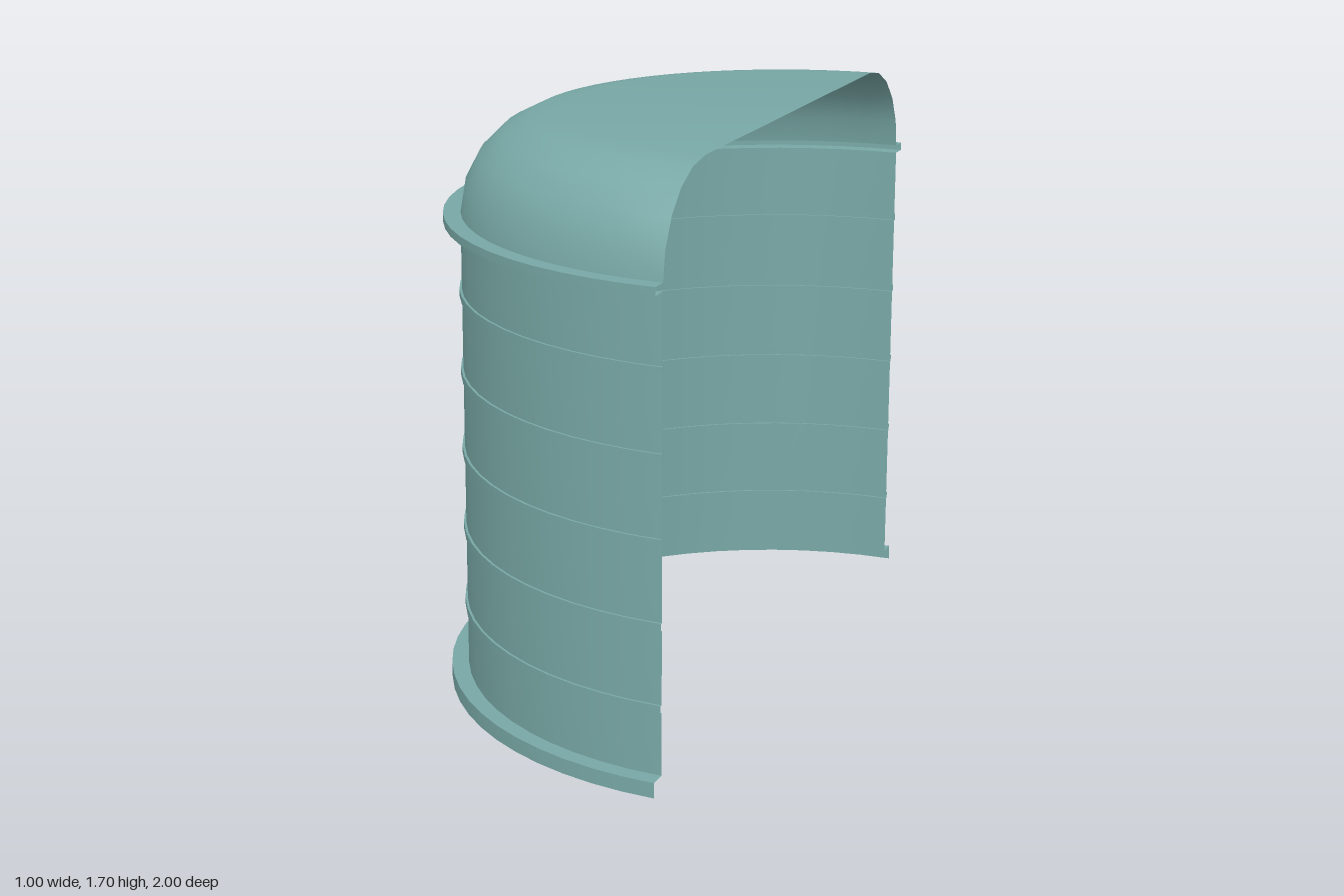
import * as THREE from 'three';
import { toCreasedNormals } from 'three/addons/utils/BufferGeometryUtils.js';

const WALL = 0.95, RIB = 0.957, FLANGE = 1, SEGMENTS = 32;
const material = new THREE.MeshStandardMaterial({ color: 0x78a8a6, side: THREE.DoubleSide });

// Sweep a [radius, y] profile through the half turn on the -x side
function halfLathe(name, profile) {
  const points = profile.map(([r, y]) => new THREE.Vector2(r, y));
  const geometry = new THREE.LatheGeometry(points, SEGMENTS, Math.PI, Math.PI);
  const mesh = new THREE.Mesh(toCreasedNormals(geometry, 0.6), material);
  mesh.name = name;
  mesh.position.x = 0.5;
  return mesh;
}

// Outward fold in the sheet: open channel seen from the inside
const fold = (r, y0, y1) => [[WALL, y0], [r, y0], [r, y1], [WALL, y1]];

export function createModel() {
  const group = new THREE.Group();
  group.name = 'halfTankShell';

  // Base lip, five shallow ribs and the upper flange, in one folded sheet
  const wall = [[FLANGE, 0], [FLANGE, 0.045], [WALL, 0.045]];
  for (let i = 1; i <= 5; i++) {
    const y = 0.24 + (i - 1) * 0.236;
    wall.push(...fold(RIB, y - 0.011, y + 0.011));
  }
  wall.push(...fold(FLANGE, 1.394, 1.418));
  group.add(halfLathe('ribbedWall', wall));

  // Rounded shoulder closing into a flat roof
  const dome = [[WALL, 1.418]];
  for (let i = 1; i <= 5; i++) {
    const a = (i / 5) * Math.PI / 2;
    dome.push([0.665 + 0.285 * Math.cos(a), 1.413 + 0.283 * Math.sin(a)]);
  }
  dome.push([0, 1.696]);
  group.add(halfLathe('domedRoof', dome));

  return group;
}
